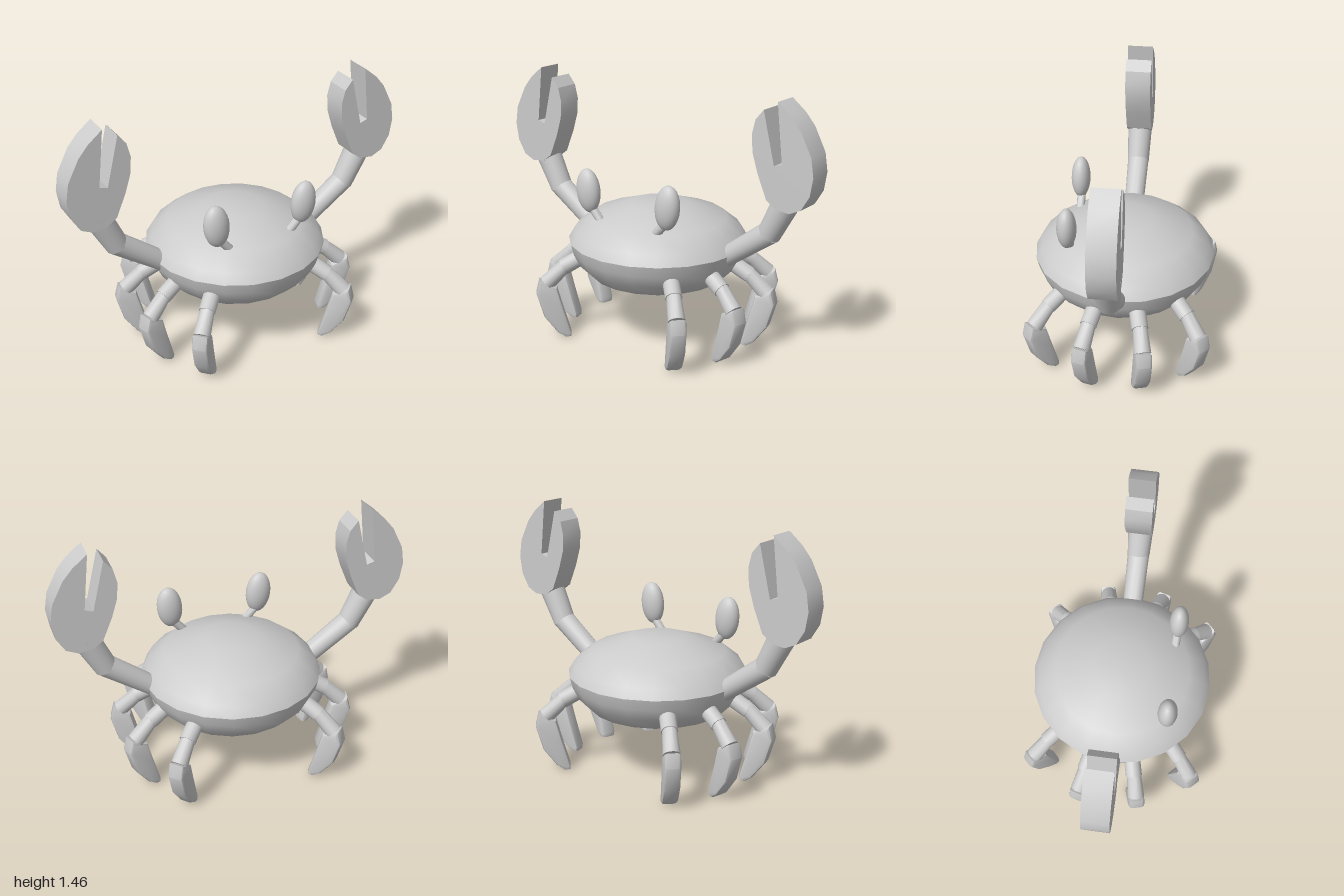
import * as THREE from 'three';
import { toCreasedNormals } from 'three/addons/utils/BufferGeometryUtils.js';

const material = new THREE.MeshStandardMaterial({ color: 0xcccccc });
const Y_AXIS = new THREE.Vector3(0, 1, 0);

function addMesh(parent, name, geometry) {
  const mesh = new THREE.Mesh(geometry, material);
  mesh.name = name;
  parent.add(mesh);
  return mesh;
}

// Tapered cylinder between two points of the xy plane
function addSegment(parent, name, from, to, r0, r1, sides = 14) {
  const a = new THREE.Vector3(...from, 0);
  const b = new THREE.Vector3(...to, 0);
  const dir = b.clone().sub(a);
  const geometry = new THREE.CylinderGeometry(r1, r0, dir.length(), sides);
  const mesh = addMesh(parent, name, toCreasedNormals(geometry, 0.8));
  mesh.position.copy(a).add(b).multiplyScalar(0.5);
  mesh.quaternion.setFromUnitVectors(Y_AXIS, dir.normalize());
  return mesh;
}

// Outline in the xy plane, extruded evenly to both sides of z = 0
function slab(points, depth, bevel, crease) {
  const shape = new THREE.Shape(points.map(([x, y]) => new THREE.Vector2(x, y)));
  const geometry = new THREE.ExtrudeGeometry(shape, {
    depth: depth - 2 * bevel, bevelEnabled: bevel > 0, bevelSize: bevel,
    bevelThickness: bevel, bevelOffset: -bevel, bevelSegments: 2,
  });
  geometry.translate(0, 0, bevel - depth / 2);
  return toCreasedNormals(geometry, crease);
}

// One walking leg, pointing along +x
function makeLeg() {
  const leg = new THREE.Group();
  leg.name = 'leg';
  addSegment(leg, 'upperLeg', [0.37, 0.51], [0.54, 0.415], 0.046, 0.046);
  addSegment(leg, 'middleLeg', [0.53, 0.425], [0.635, 0.325], 0.04, 0.047);
  const foot = [
    [0.675, 0.35], [0.695, 0.27], [0.655, 0.13], [0.58, 0.03], [0.535, 0],
    [0.508, 0.005], [0.505, 0.03], [0.55, 0.19], [0.58, 0.305],
  ];
  addMesh(leg, 'lowerLeg', slab(foot, 0.09, 0.018, 0.6));
  return leg;
}

// Raised arm with its pincer, pointing along +x
function makeClawArm() {
  const arm = new THREE.Group();
  arm.name = 'clawArm';
  addSegment(arm, 'lowerArm', [0.4, 0.51], [0.725, 0.745], 0.055, 0.063, 18);
  addSegment(arm, 'upperArm', [0.715, 0.73], [0.825, 0.945], 0.064, 0.074, 18);
  const pincer = [
    [0.87, 0.89], [0.936, 0.92], [0.984, 1.0], [1.0, 1.1], [0.984, 1.2],
    [0.92, 1.325], [0.865, 1.39], [0.785, 1.455], [0.82, 1.14], [0.775, 1.125],
    [0.706, 1.405], [0.66, 1.35], [0.64, 1.27], [0.647, 1.176], [0.68, 1.07],
    [0.735, 0.94], [0.79, 0.9],
  ];
  addMesh(arm, 'pincer', slab(pincer, 0.146, 0, 0.45));
  return arm;
}

export function createModel() {
  const model = new THREE.Group();
  model.name = 'crab';

  // Shell: smooth dome and belly meeting at a sharp rim
  const profile = [
    [0, 0.33], [0.15, 0.33], [0.385, 0.37], [0.455, 0.44], [0.49, 0.51], [0.505, 0.57],
    [0.472, 0.627], [0.382, 0.7], [0.16, 0.775], [0, 0.778],
  ].map(([r, y]) => new THREE.Vector2(r, y));
  addMesh(model, 'shell', toCreasedNormals(new THREE.LatheGeometry(profile, 20), 0.7));

  // Limbs: the right side is the left side turned half round
  for (const [name, turn] of [['leftLimbs', 0], ['rightLimbs', Math.PI]]) {
    const side = new THREE.Group();
    side.name = name;
    side.rotation.y = turn;
    side.add(makeClawArm());
    for (const degrees of [-45, -15, 15, 45]) {
      const leg = makeLeg();
      leg.rotation.y = THREE.MathUtils.degToRad(degrees);
      side.add(leg);
    }
    model.add(side);
  }

  // Eyes on short slanted stalks
  for (const s of [1, -1]) {
    const eye = addMesh(model, 'eye', new THREE.SphereGeometry(1, 20, 14));
    eye.scale.set(0.073, 0.124, 0.054);
    eye.rotation.z = -0.1 * s;
    eye.position.set(0.268 * s, 0.861, 0.285);
    const stalk = addSegment(model, 'eyeStalk', [0.18 * s, 0.69], [0.25 * s, 0.77], 0.024, 0.024, 10);
    stalk.position.z = 0.28;
  }
  return model;
}
